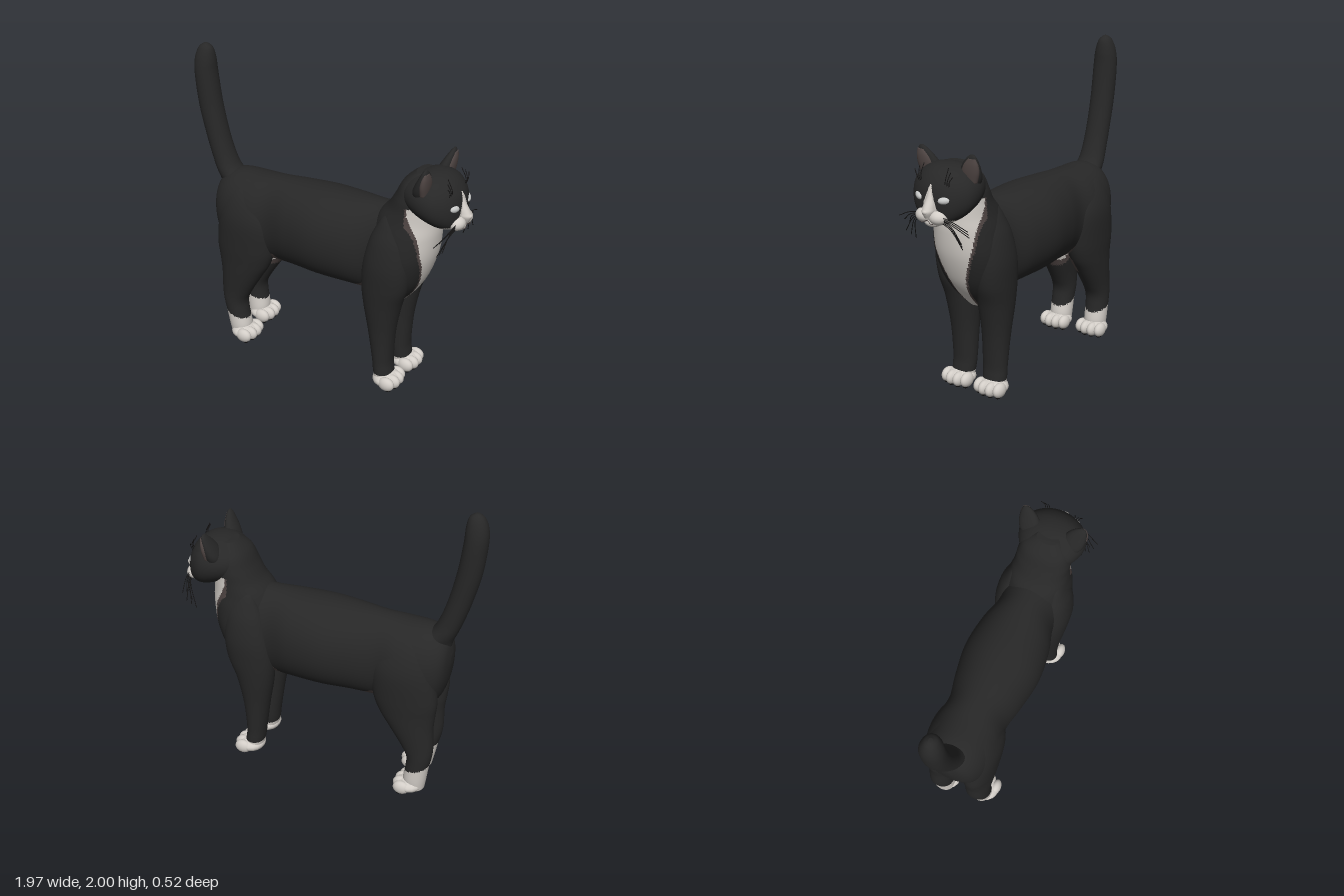
import * as THREE from 'three';

const mat = (name, color) => new THREE.MeshStandardMaterial({ name, color });

export function createModel() {
  const cat = new THREE.Group();
  cat.name = 'cat';
  const black = mat('black fur', 0x272727), white = mat('white fur', 0xd2cdc7);
  const brown = mat('grey brown skin', 0x4f4543), eyeGrey = mat('pale eye', 0xcbcccb);
  const pad = mat('dark pads and whiskers', 0x151414);
  const fur = [black, white, brown];

  const add = (name, geo, material, parent = cat) => {
    const mesh = new THREE.Mesh(geo, material);
    mesh.name = name;
    parent.add(mesh);
    return mesh;
  };

  // Smooth loft of oval rings. Rows along x: [x, y0, y1, z0, z1]; along y: [y, z0, z1, x0, x1].
  // paint(point) picks 0 black, 1 white or 2 brown for each face.
  function loft(axis, rows, paint = () => 0, seg = 48, steps = 8) {
    const pos = [], faces = [[], [], []], p = new THREE.Vector3();
    const put = (t, a, b) => axis === 'x' ? pos.push(t, a, b) : pos.push(b, t, a);
    const cubic = (a, b, c, d, u) => 0.5 * (2 * b + (c - a) * u
      + (2 * a - 5 * b + 4 * c - d) * u * u + (3 * b - a - 3 * c + d) * u * u * u);
    const last = rows.length - 1, rings = last * steps + 1;
    const soft = v => Math.sign(v) * Math.abs(v) ** 0.95;
    const ends = [];
    for (let r = 0; r < rings; r++) {
      const k = Math.min(Math.floor(r / steps), last - 1), u = r / steps - k;
      const at = i => rows[Math.min(Math.max(i, 0), last)];
      const [t, a0, a1, b0, b1] = rows[0].map((_, c) =>
        cubic(at(k - 1)[c], at(k)[c], at(k + 1)[c], at(k + 2)[c], u));
      for (let s = 0; s < seg; s++) {
        const w = s / seg * Math.PI * 2;
        put(t, (a0 + a1) / 2 + (a1 - a0) / 2 * soft(Math.cos(w)),
          (b0 + b1) / 2 + (b1 - b0) / 2 * soft(Math.sin(w)));
      }
      if (r === 0 || r === rings - 1) ends.push([t, (a0 + a1) / 2, (b0 + b1) / 2]);
    }
    ends.forEach(e => put(...e));
    const face = (...ids) => {
      p.set(0, 0, 0);
      ids.forEach(i => { p.x += pos[i * 3] / 3; p.y += pos[i * 3 + 1] / 3; p.z += pos[i * 3 + 2] / 3; });
      faces[paint(p)].push(...ids);
    };
    for (let s = 0; s < seg; s++) {
      const n = (s + 1) % seg, top = (rings - 1) * seg;
      for (let r = 0; r < rings - 1; r++) {
        const a = r * seg + s, b = r * seg + n;
        face(a, b, a + seg);
        face(b, b + seg, a + seg);
      }
      face(rings * seg, n, s);
      face(rings * seg + 1, top + s, top + n);
    }
    const geo = new THREE.BufferGeometry();
    geo.setAttribute('position', new THREE.Float32BufferAttribute(pos, 3));
    geo.setIndex(faces.flat());
    let start = 0;
    faces.forEach((f, i) => { if (f.length) geo.addGroup(start, f.length, i); start += f.length; });
    geo.computeVertexNormals();
    return geo;
  }

  const ball = (name, c, r, material, parent = cat) => {
    const m = add(name, new THREE.SphereGeometry(1, 18, 12), material, parent);
    m.position.set(...c);
    m.scale.set(...r);
    return m;
  };
  // Linear lookup in [key, value] stops
  const ramp = (stops, v) => {
    let i = 0;
    while (i < stops.length - 2 && v > stops[i + 1][0]) i++;
    const [a, b] = [stops[i], stops[i + 1]];
    return THREE.MathUtils.mapLinear(v, a[0], b[0], a[1], b[1]);
  };
  const sym = ([t, a, b, w]) => [t, a, b, -w, w];
  const symY = ([t, w, a, b]) => [t, -w, w, a, b];

  // Torso with white belly stripe and brown border, both wider near the legs
  const belly = p => {
    if (p.y > 0.72 || p.x < -0.5 || p.x > 0.4) return 0;
    const flare = Math.max(0, Math.abs(p.x) - 0.2), over = Math.abs(p.z) - 0.062 - 0.25 * flare;
    return over < 0 ? 1 : over < 0.022 + 0.25 * flare ? 2 : 0;
  };
  add('torso', loft('x', [
    [-0.812, 0.95, 1.02, 0.03], [-0.79, 0.8, 1.11, 0.12], [-0.74, 0.68, 1.165, 0.175],
    [-0.65, 0.63, 1.195, 0.208], [-0.5, 0.615, 1.2, 0.222], [-0.36, 0.62, 1.21, 0.2],
    [-0.2, 0.632, 1.22, 0.232], [0, 0.63, 1.23, 0.26], [0.2, 0.628, 1.232, 0.24],
    [0.36, 0.62, 1.235, 0.195], [0.5, 0.64, 1.23, 0.2], [0.6, 0.72, 1.18, 0.17], [0.65, 0.85, 1.1, 0.08],
  ].map(sym), belly, 96, 9), fur);

  // Chest and neck with tapering white bib
  const bibWidth = [[0.57, 0.03], [0.7, 0.045], [0.8, 0.07], [1, 0.14], [1.2, 0.172], [1.32, 0.18]];
  const bibBack = [[0.57, 0.44], [0.7, 0.58], [1.05, 0.645], [1.32, 0.64]];
  const bib = p => {
    const over = Math.max(Math.abs(p.z) - ramp(bibWidth, p.y), ramp(bibBack, p.y) - p.x);
    return p.y > 1.32 ? 0 : over < 0 ? 1 : over < 0.014 ? 2 : 0;
  };
  add('chestAndNeck', loft('y', [
    [0.57, 0.04, 0.45, 0.54], [0.62, 0.1, 0.42, 0.585], [0.7, 0.16, 0.38, 0.65], [0.8, 0.2, 0.36, 0.705],
    [0.95, 0.22, 0.36, 0.755], [1.1, 0.21, 0.36, 0.775], [1.2, 0.19, 0.39, 0.775],
    [1.28, 0.178, 0.455, 0.77], [1.36, 0.172, 0.502, 0.76], [1.45, 0.145, 0.55, 0.74], [1.52, 0.07, 0.625, 0.71],
  ].map(symY), bib, 112, 11), fur);

  // Tail
  add('tail', loft('y', [
    [1.0, 0.05, -0.79, -0.58], [1.1, 0.088, -0.808, -0.57], [1.17, 0.088, -0.835, -0.665], [1.25, 0.082, -0.865, -0.715],
    [1.4, 0.078, -0.912, -0.765], [1.6, 0.078, -0.96, -0.81], [1.8, 0.077, -0.983, -0.838],
    [1.9, 0.066, -0.98, -0.845], [1.97, 0.042, -0.955, -0.86], [2, 0.012, -0.92, -0.895],
  ].map(symY), undefined, 32), fur);

  // Legs: rows are [y, zInner, zOuter, xBack, xFront]
  const frontRows = [
    [0.03, 0.05, 0.2, 0.435, 0.56], [0.12, 0.04, 0.2, 0.42, 0.545], [0.2, 0.035, 0.2, 0.41, 0.54],
    [0.4, 0.03, 0.213, 0.38, 0.555], [0.6, 0.02, 0.235, 0.345, 0.595], [0.75, 0.03, 0.25, 0.335, 0.645],
    [0.9, 0.04, 0.257, 0.35, 0.66], [1.05, 0.05, 0.238, 0.385, 0.65], [1.15, 0.08, 0.205, 0.43, 0.62],
    [1.22, 0.1, 0.172, 0.47, 0.58], [1.27, 0.11, 0.135, 0.53, 0.57],
  ];
  const hindRows = [
    [0.03, 0.06, 0.195, -0.675, -0.55], [0.1, 0.055, 0.205, -0.69, -0.54], [0.2, 0.055, 0.207, -0.71, -0.56],
    [0.28, 0.05, 0.208, -0.73, -0.565], [0.36, 0.045, 0.21, -0.74, -0.53], [0.5, 0.03, 0.22, -0.742, -0.445],
    [0.6, 0.02, 0.226, -0.755, -0.385], [0.72, 0.02, 0.234, -0.765, -0.345], [0.9, 0.02, 0.238, -0.745, -0.33],
    [1.02, 0.03, 0.212, -0.72, -0.37], [1.11, 0.05, 0.165, -0.67, -0.44], [1.17, 0.06, 0.1, -0.6, -0.52],
  ];
  const frontSock = p => p.y < 0.1 ? 1 : 0;
  // Hind sock plus a small pale patch inside the thigh
  const hindPaint = p => {
    if (p.y < 0.18 - 0.35 * (p.x + 0.62)) return 1;
    const d = Math.hypot((p.x + 0.48) / 0.09, (p.y - 0.58) / 0.09);
    return Math.abs(p.z) > 0.11 || d > 1 ? 0 : d < 0.5 ? 1 : 2;
  };

  function paw(name, x, z) {
    const g = new THREE.Group();
    g.name = name;
    g.position.set(x, 0, z);
    ball('palm', [0, 0.055, 0], [0.09, 0.05, 0.102], white, g);
    ball('palmPad', [-0.005, 0.015, 0], [0.036, 0.015, 0.045], pad, g);
    [-0.074, -0.026, 0.026, 0.074].forEach((dz, i) => {
      const dx = i === 1 || i === 2 ? 0.05 : 0.034;
      ball('toe', [dx, 0.052, dz], [0.056, 0.047, 0.034], white, g);
      ball('toePad', [dx + 0.014, 0.013, dz], [0.02, 0.013, 0.016], pad, g);
    });
    cat.add(g);
  }

  for (const s of [1, -1]) {
    const side = s > 0 ? 'Left' : 'Right';
    // The right hind leg stands slightly further back
    const back = y => s > 0 ? 0 : -0.035 * Math.max(0, 1 - y / 0.6);
    const place = ([y, a, b, c, d], dx = 0) => [y, s > 0 ? a : -b, s > 0 ? b : -a, c + dx, d + dx];
    add('frontLeg' + side, loft('y', frontRows.map(r => place(r)), frontSock, 40), fur);
    add('hindLeg' + side, loft('y', hindRows.map(r => place(r, back(r[0]))), hindPaint), fur);
    paw('frontPaw' + side, 0.513, s * 0.127);
    paw('hindPaw' + side, -0.578 + back(0), s * 0.135);

    // Ears with inset inner skin
    add('ear' + side, loft('y', [
      [1.39, 0.08, 0.18, 0.67, 0.75], [1.45, 0.072, 0.21, 0.67, 0.77], [1.5, 0.08, 0.22, 0.69, 0.775],
      [1.55, 0.108, 0.22, 0.718, 0.778], [1.59, 0.145, 0.212, 0.742, 0.777], [1.61, 0.172, 0.198, 0.758, 0.77],
    ].map(r => place(r)), undefined, 32), fur);
    add('innerEar' + side, loft('y', [
      [1.44, 0.12, 0.205, 0.725, 0.772], [1.5, 0.104, 0.223, 0.725, 0.783],
      [1.55, 0.126, 0.223, 0.738, 0.786], [1.588, 0.162, 0.211, 0.758, 0.782],
    ].map(r => place(r)), () => 2, 24), fur);

    // Eyes
    const eye = ball('eye' + side, [0.899, 1.358, s * 0.093], [0.026, 0.025, 0.044], eyeGrey);
    eye.rotation.set(s * -0.15, s * -0.65, 0, 'YXZ');

    // Muzzle cheek
    ball('muzzle' + side, [0.91, 1.25, s * 0.048], [0.053, 0.045, 0.06], white);

    // Whiskers and brow hairs
    const hair = (name, ...pts) => add(name, new THREE.TubeGeometry(new THREE.CatmullRomCurve3(
      pts.map(([x, y, z]) => new THREE.Vector3(x, y, s * z))), 12, 0.0025, 5), pad);
    for (let i = 0; i < 6; i++) {
      const f = i / 5;
      hair('whisker', [0.93, 1.265 - 0.03 * f, 0.07], [0.925 - 0.02 * f, 1.25 - 0.06 * f, 0.15 - 0.02 * f],
        [0.9 - 0.05 * (i % 3) / 2, 1.2 - 0.14 * f, 0.255 - 0.08 * f]);
    }
    for (let i = 0; i < 3; i++)
      hair('browHair', [0.88, 1.42, 0.075 + 0.015 * i], [0.892, 1.47, 0.09 + 0.015 * i], [0.86 + 0.012 * i, 1.54 - 0.02 * i, 0.09 + 0.025 * i]);
  }

  // Head with white blaze and chin
  const blaze = [[1.2, 0.105], [1.265, 0.1], [1.3, 0.052], [1.36, 0.032], [1.44, 0.004]];
  const facePaint = p => {
    if (p.y < 1.235 && p.x > 0.7 && Math.abs(p.z) < 0.125) return 1;
    return p.x > 0.85 && p.y < 1.44 && Math.abs(p.z) < ramp(blaze, p.y) ? 1 : 0;
  };
  add('head', loft('x', [
    [0.55, 1.36, 1.42, 0.04], [0.585, 1.3, 1.475, 0.13], [0.64, 1.265, 1.51, 0.18], [0.72, 1.23, 1.535, 0.212],
    [0.8, 1.2, 1.53, 0.21], [0.86, 1.19, 1.5, 0.176], [0.9, 1.2, 1.455, 0.132],
    [0.922, 1.23, 1.41, 0.08], [0.932, 1.28, 1.35, 0.03],
  ].map(sym), facePaint, 112, 11), fur);

  // Nose bridge, nose and chin
  add('noseBridge', loft('y', [
    [1.25, 0.025, 0.88, 0.965], [1.285, 0.036, 0.88, 0.982], [1.31, 0.034, 0.88, 0.972],
    [1.36, 0.028, 0.87, 0.943], [1.41, 0.019, 0.87, 0.922], [1.44, 0.007, 0.87, 0.905],
  ].map(symY), () => 1, 32), fur);
  ball('noseTip', [0.962, 1.288, 0], [0.023, 0.017, 0.024], white);
  ball('chin', [0.9, 1.213, 0], [0.045, 0.03, 0.055], white);
  const mouth = new THREE.CatmullRomCurve3([[0.935, 1.232, -0.07], [0.957, 1.218, -0.035], [0.955, 1.235, 0],
    [0.957, 1.218, 0.035], [0.935, 1.232, 0.07]].map(v => new THREE.Vector3(...v)));
  add('mouth', new THREE.TubeGeometry(mouth, 24, 0.002, 6), brown);

  return cat;
}
